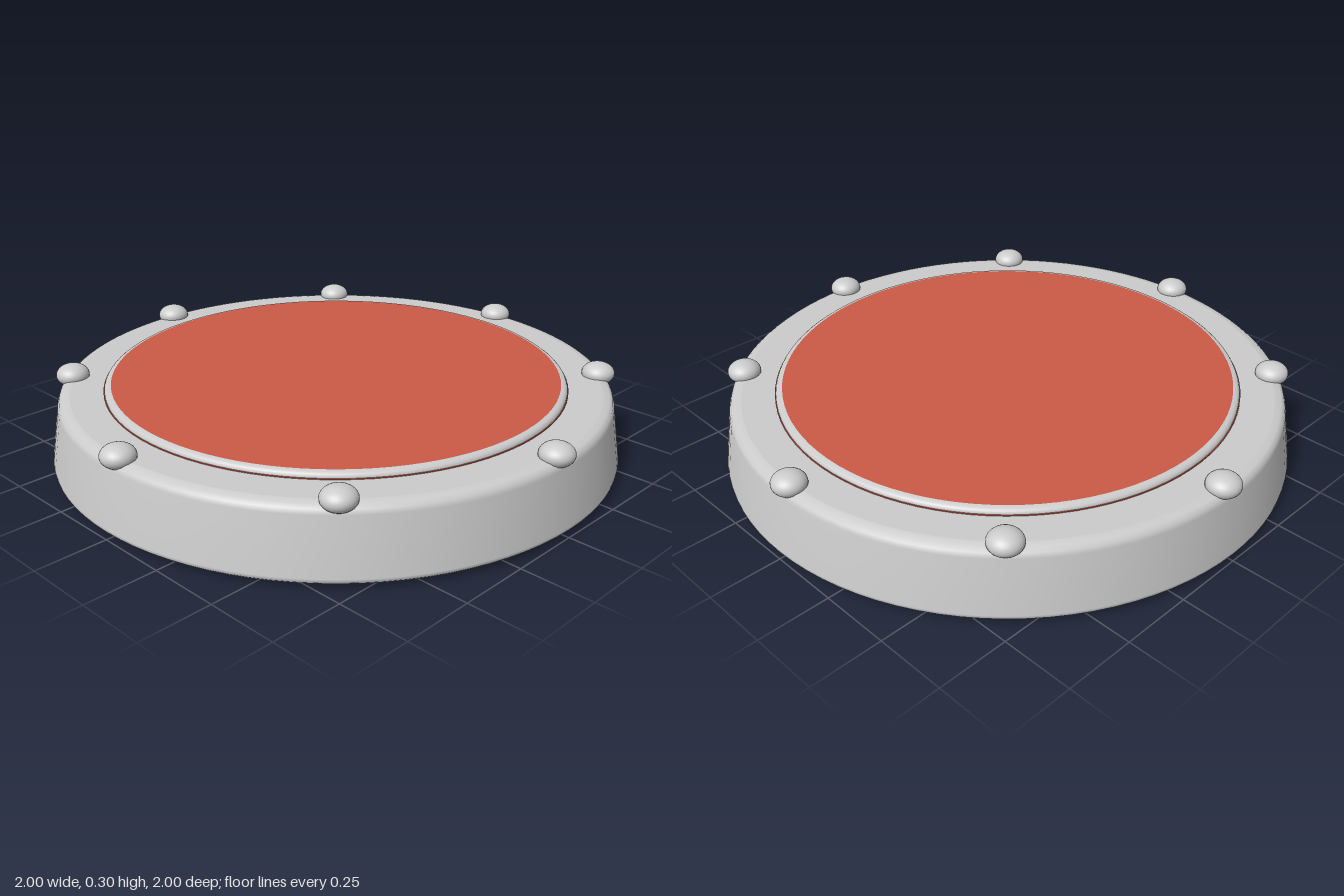
import * as THREE from 'three';

const mat = (name, color) => {
  const m = new THREE.MeshStandardMaterial({ color });
  m.name = name;
  return m;
};

export function createModel() {
  const grey = mat('light grey', 0xcccccc);
  const red = mat('red', 0xcc5a46);
  const dark = mat('dark rubber', 0x5a5859);
  const group = new THREE.Group();

  const add = (name, geometry, material, y = 0) => {
    const mesh = new THREE.Mesh(geometry, material);
    mesh.name = name;
    mesh.position.y = y;
    group.add(mesh);
    return mesh;
  };
  // Lathe from a bottom-to-top outline
  const lathe = (points) =>
    new THREE.LatheGeometry(points.map(([r, y]) => new THREE.Vector2(r, y)), 96);

  // Tapered housing with rounded shoulders
  add('housing', lathe([
    [0, 0.016], [0.975, 0.016], [0.975, 0.016], [0.99, 0.019], [0.997, 0.026], [0.998, 0.037],
    [0.967, 0.225], [0.961, 0.241], [0.948, 0.251], [0.925, 0.255], [0.925, 0.255], [0, 0.255],
  ]), grey);

  // Rubber foot under the housing
  add('foot', new THREE.CylinderGeometry(0.905, 0.905, 0.02, 96), dark, 0.01);

  // Thin red seam, bevelled rim and red pad on top
  add('seam', new THREE.CylinderGeometry(0.811, 0.811, 0.005, 96), red, 0.2555);
  add('padRim', lathe([
    [0.808, 0.255], [0.808, 0.262], [0.804, 0.269], [0.797, 0.274], [0.785, 0.276],
  ]), grey);
  const pad = add('pad', new THREE.CircleGeometry(0.785, 96), red, 0.276);
  pad.rotation.x = -Math.PI / 2;

  // Eight flattened studs around the shoulder
  const studShape = new THREE.SphereGeometry(0.058, 28, 18).scale(1, 0.68, 1);
  for (let i = 0; i < 8; i++) {
    const a = (i * Math.PI) / 4;
    const stud = add('stud', studShape, grey, 0.262);
    stud.position.x = 0.932 * Math.sin(a);
    stud.position.z = 0.932 * Math.cos(a);
  }
  return group;
}
